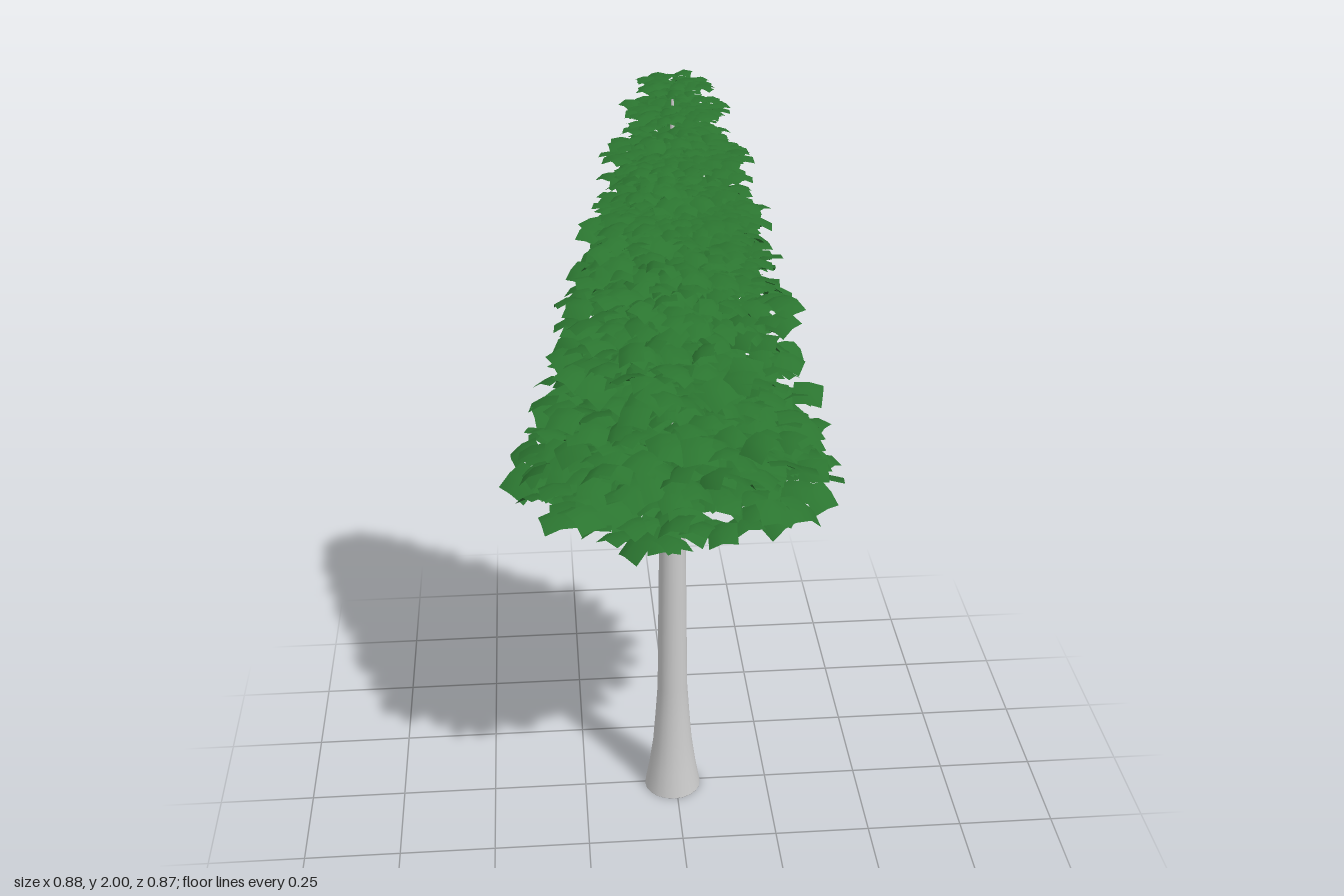
import * as THREE from 'three';
import { mergeGeometries } from 'three/addons/utils/BufferGeometryUtils.js';

// small seeded generator, values in -1..1
function makeJitter(seed) {
  let s = seed;
  return () => {
    s = (s * 16807) % 2147483647;
    return (s / 2147483647) * 2 - 1;
  };
}

// a square leaf card, lying flat and arched down on both sides of its length (z)
function leafCard(size) {
  const g = new THREE.PlaneGeometry(size, size, 2, 2);
  g.rotateX(-Math.PI / 2);
  const p = g.attributes.position;
  for (let i = 0; i < p.count; i++) {
    const u = p.getX(i) / (size / 2);
    const v = p.getZ(i) / (size / 2);
    p.setY(i, size * (0.12 - 0.16 * u * u - 0.1 * v * v));
  }
  g.computeVertexNormals();
  return g;
}

// one whorl of radial branches, each a row of leaf cards rolled to either side
function leafTier({ y, radius, thickness, drop, size, inner }, jitter) {
  const cards = [];
  const reach = radius - size * 0.5;
  const branches = Math.max(6, 2 * Math.round((Math.PI * reach) / (size * 0.68)));
  const tilt = Math.min(0.5, thickness * 5);
  const spread = Math.max(0.004, thickness / 2 - size * 0.28);
  const turn = jitter() * Math.PI;
  for (let b = 0; b < branches; b++) {
    const angle = turn + (b / branches) * Math.PI * 2;
    // every second branch stops halfway in, keeping the middle from crowding
    const start = b % 2 ? reach * 0.5 : inner;
    const end = reach * (1 - 0.07 * (b % 2)) + jitter() * size * 0.12;
    const steps = Math.max(1, Math.round((end - start) / (size * 0.55)));
    for (let i = 0; i <= steps; i++) {
      const r = start + ((end - start) * i) / steps;
      const side = (b + i) % 2 ? 1 : -1;
      const card = leafCard(size * (1 + 0.12 * jitter()));
      card.rotateY(jitter() * 0.7);
      card.rotateZ(tilt * (side * 0.5 + 0.6 * jitter()));
      card.rotateX(tilt * (0.3 + 0.7 * jitter()));
      const a = angle + (jitter() * size * 0.2) / Math.max(r, size);
      card.rotateY(a);
      const fall = drop * ((r / reach) ** 2 - 0.5);
      card.translate(Math.sin(a) * r, y - fall + jitter() * spread, Math.cos(a) * r);
      cards.push(card);
    }
  }
  return mergeGeometries(cards);
}

export function createModel() {
  const tree = new THREE.Group();
  tree.name = 'coniferTree';

  // flared, tapering trunk with a closed base
  const profile = [
    [0, 0], [0.076, 0], [0.076, 0.001], [0.064, 0.07], [0.053, 0.15], [0.046, 0.24],
    [0.04, 0.33], [0.037, 0.6], [0.032, 0.95], [0.02, 1.4], [0.008, 1.8], [0.003, 1.95], [0, 1.95],
  ].map(([r, y]) => new THREE.Vector2(r, y));
  const trunk = new THREE.Mesh(
    new THREE.LatheGeometry(profile, 20),
    new THREE.MeshStandardMaterial({ color: 0xcccccc }),
  );
  trunk.name = 'trunk';
  trunk.position.set(-0.009, 0, 0.007);
  tree.add(trunk);

  // foliage tiers: height, radius, thickness, drop to the rim, leaf size, inner radius
  const tiers = [
    [1.03, 0.422, 0.12, 0.03, 0.08, 0.14],
    [1.095, 0.35, 0.1, 0.03, 0.078, 0.06],
    [1.182, 0.365, 0.11, 0.02, 0.077, 0.04],
    [1.305, 0.31, 0.11, 0.01, 0.07, 0.03],
    [1.438, 0.3, 0.095, 0.01, 0.064, 0.03],
    [1.53, 0.258, 0.09, 0.01, 0.06, 0.03],
    [1.58, 0.23, 0.07, 0.01, 0.055, 0.03],
    [1.638, 0.232, 0.08, 0.01, 0.055, 0.03],
    [1.69, 0.195, 0.035, 0, 0.05, 0.03],
    [1.752, 0.178, 0.065, 0.005, 0.047, 0.02],
    [1.818, 0.175, 0.04, 0, 0.045, 0.02],
    [1.873, 0.125, 0.055, 0, 0.042, 0.02],
    [1.93, 0.122, 0.035, 0, 0.04, 0.02],
    [1.984, 0.093, 0.04, 0, 0.038, 0.03],
  ];
  const leafMaterial = new THREE.MeshStandardMaterial({ color: 0x2b7530, side: THREE.DoubleSide });
  const jitter = makeJitter(4711);
  const foliage = new THREE.Group();
  foliage.name = 'foliage';
  tiers.forEach(([y, radius, thickness, drop, size, inner], i) => {
    const shape = { y, radius, thickness, drop, size, inner };
    const tier = new THREE.Mesh(leafTier(shape, jitter), leafMaterial);
    tier.name = `leafTier${i + 1}`;
    foliage.add(tier);
  });
  tree.add(foliage);
  return tree;
}
